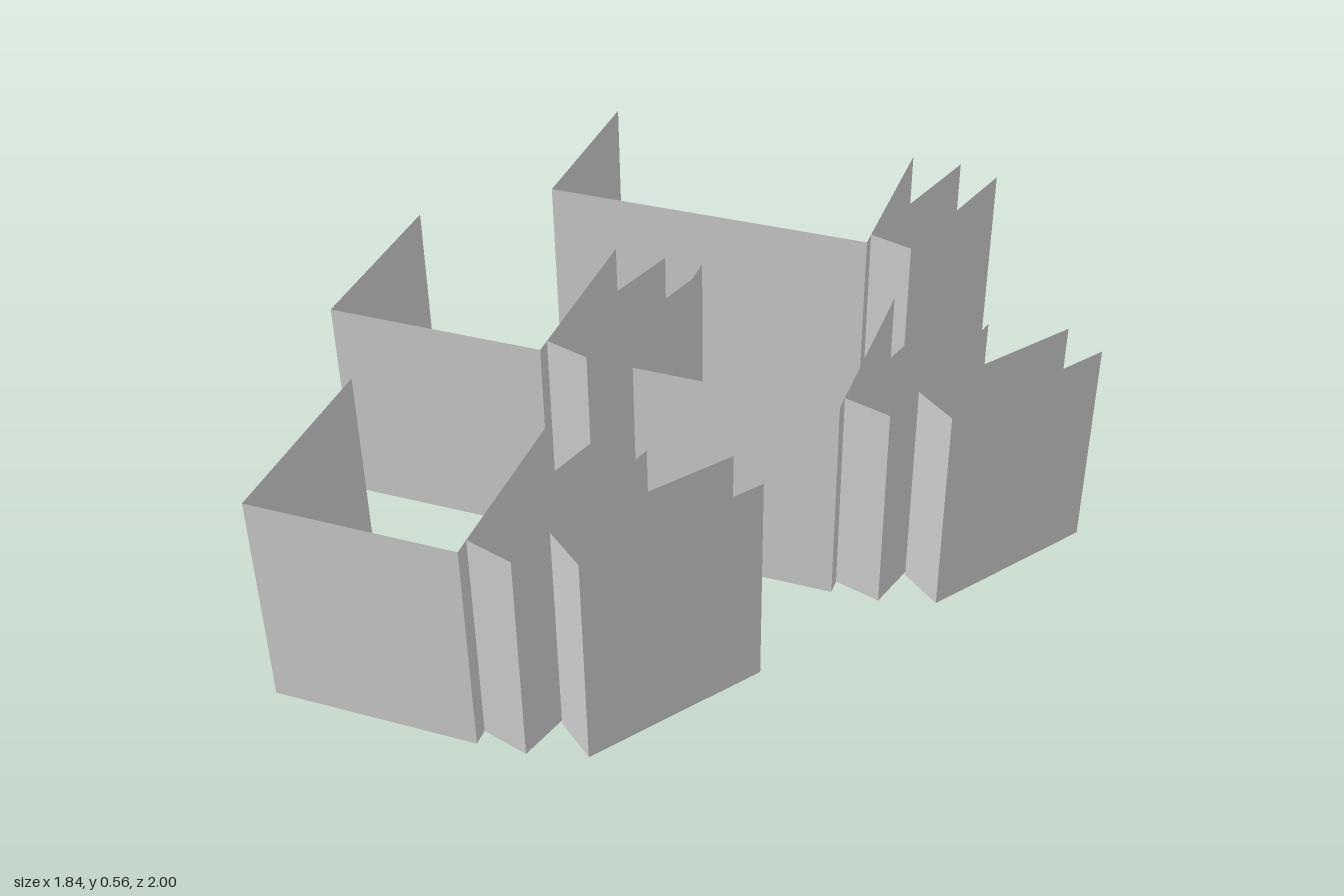
import * as THREE from 'three';

const HEIGHT = 0.555;
const material = new THREE.MeshStandardMaterial({ color: 0xcccccc, flatShading: true, side: THREE.DoubleSide });

// Open shell over a footprint [x, z] given as back left, front left, front right, back right:
// two sides, a front and a floor; the top and back stay open.
function shell(name, corners) {
  const low = corners.map(([x, z]) => [x, 0, z]);
  const high = corners.map(([x, z]) => [x, HEIGHT, z]);
  const positions = [];
  const quad = (a, b, c, d) => positions.push(...a, ...b, ...c, ...a, ...c, ...d);
  for (let i = 0; i < 3; i++) quad(low[i], low[i + 1], high[i + 1], high[i]);
  quad(low[0], low[3], low[2], low[1]);

  const geometry = new THREE.BufferGeometry();
  geometry.setAttribute('position', new THREE.Float32BufferAttribute(positions, 3));
  geometry.computeVertexNormals();
  const mesh = new THREE.Mesh(geometry, material);
  mesh.name = name;
  return mesh;
}

// Footprints of the leaning books, relative to the block's front right corner
const SLIGHT_LEAN = [[0.136, -0.501], [0, -0.042], [0.117, -0.006], [0.247, -0.459]];
const STEEP_LEAN = [[0.436, -0.501], [0.156, -0.121], [0.253, -0.042], [0.53, -0.427]];

// A block of upright books with the books leaning against its end
function bookRow(name, left, right, front, leans) {
  const row = new THREE.Group();
  row.name = name;
  const back = front - 0.501;
  row.add(shell('uprightBooks', [[left, back], [left, front], [right, front], [right, back]]));
  leans.forEach((lean, i) => {
    const corners = lean.map(([x, z]) => [right + x, front + z]);
    row.add(shell(`leaningBook${i + 1}`, corners));
  });
  return row;
}

export function createModel() {
  const model = new THREE.Group();
  model.name = 'bookRows';
  model.add(
    bookRow('backRow', -0.641, 0.249, -0.499, [SLIGHT_LEAN]),
    bookRow('middleRowLeft', -0.92, -0.359, 0.245, [SLIGHT_LEAN]),
    bookRow('middleRowRight', -0.122, 0.386, 0.245, [SLIGHT_LEAN, STEEP_LEAN]),
    bookRow('frontRow', -0.73, -0.223, 1, [SLIGHT_LEAN, STEEP_LEAN])
  );
  return model;
}
